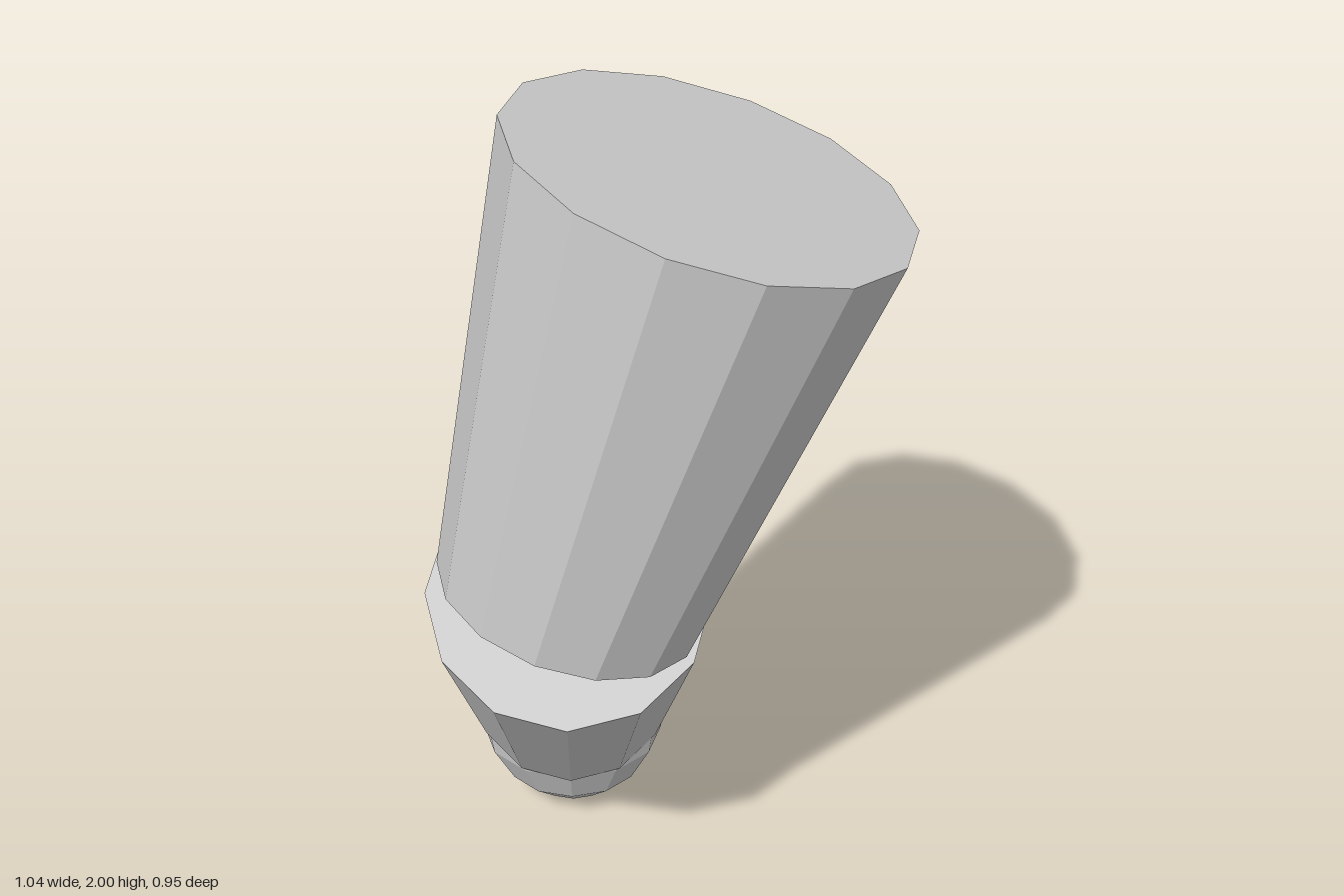
import * as THREE from 'three';

const grey = new THREE.MeshStandardMaterial({ color: 0xcccccc, flatShading: true });
grey.name = 'grey';

// Tapered prism between two points; one of its corners lies toward +x
function limb(name, top, bottom, rTop, rBottom, sides) {
  const axis = top.clone().sub(bottom);
  const length = axis.length();
  axis.normalize();
  const geo = new THREE.CylinderGeometry(rTop, rBottom, length, sides, 1, false, Math.PI / 2);
  const xDir = new THREE.Vector3(1, 0, 0).addScaledVector(axis, -axis.x).normalize();
  const zDir = new THREE.Vector3().crossVectors(xDir, axis);
  const mesh = new THREE.Mesh(geo, grey);
  mesh.name = name;
  mesh.quaternion.setFromRotationMatrix(new THREE.Matrix4().makeBasis(xDir, axis, zDir));
  mesh.position.copy(top).add(bottom).multiplyScalar(0.5);
  return mesh;
}

export function createModel() {
  const group = new THREE.Group();
  group.name = 'bentLimb';

  const upperEnd = new THREE.Vector3(0.0975, 1.878, 0.048);
  const joint = new THREE.Vector3(-0.205, 0.868, 0.083);
  const lowerEnd = new THREE.Vector3(-0.22, 0.313, -0.27);

  // Two tapered segments meeting at the bend
  group.add(limb('upperSegment', upperEnd, joint, 0.437, 0.3, 14));
  group.add(limb('lowerSegment', joint, lowerEnd, 0.318, 0.237, 12));

  // Rounded tip, an upright faceted ellipsoid
  const tip = new THREE.Mesh(new THREE.SphereGeometry(1, 12, 8), grey);
  tip.name = 'roundedTip';
  tip.scale.set(0.237, 0.31, 0.208);
  tip.position.set(-0.22, 0.31, -0.267);
  group.add(tip);

  return group;
}
